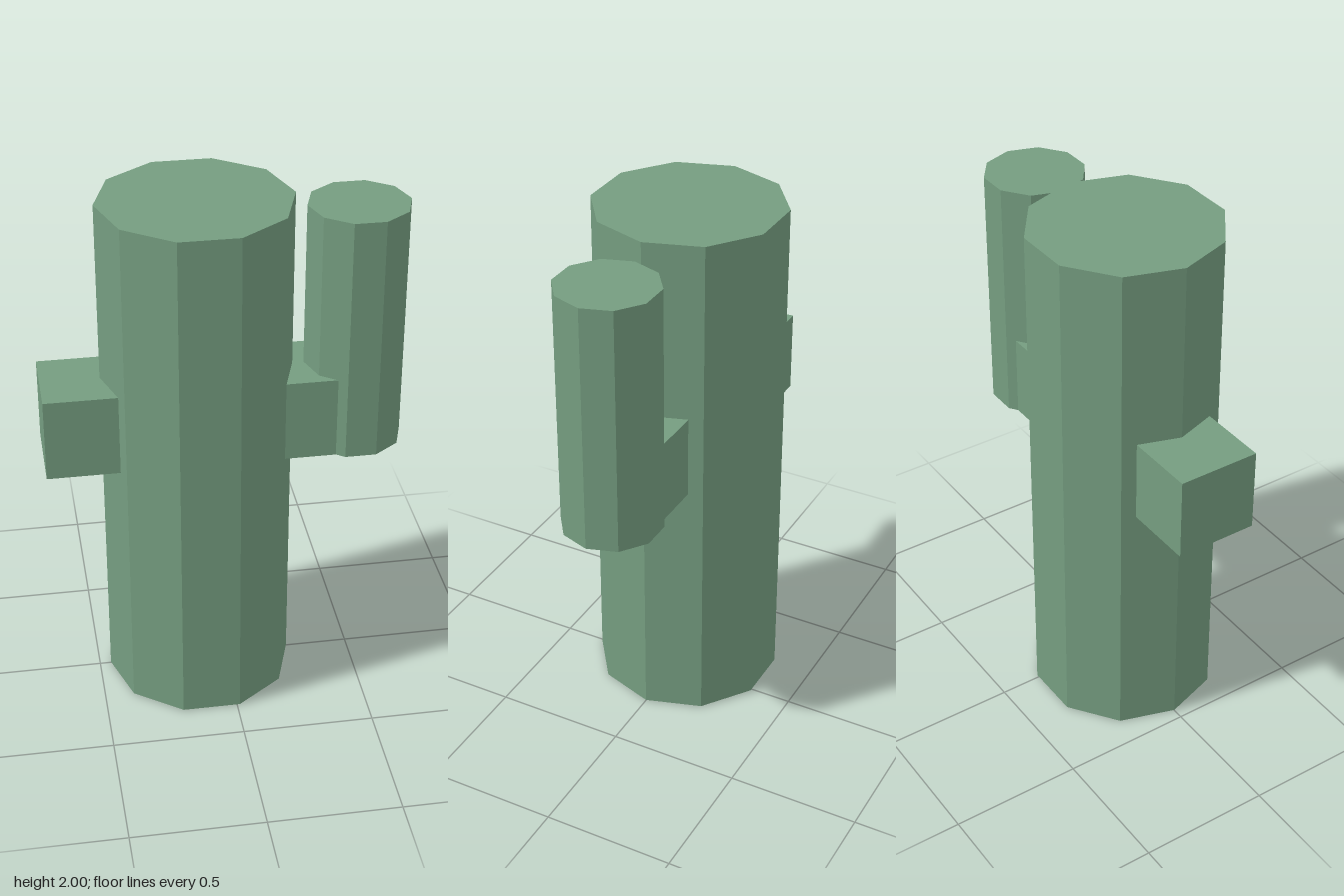
import * as THREE from 'three';

export function createModel() {
  const model = new THREE.Group();
  model.name = 'cactus';

  const green = new THREE.MeshStandardMaterial({ color: 0x759d80 });
  green.name = 'cactus green';
  green.flatShading = true;
  const brown = new THREE.MeshStandardMaterial({ color: 0x9b7062 });
  brown.name = 'soil brown';

  const add = (name, geometry, material, x, y, z = 0) => {
    const mesh = new THREE.Mesh(geometry, material);
    mesh.name = name;
    mesh.position.set(x, y, z);
    model.add(mesh);
  };

  // Ten-sided column with a corner pointing along x
  const column = (name, radius, x, bottom, top) =>
    add(name, new THREE.CylinderGeometry(radius, radius, top - bottom, 10, 1, false, Math.PI / 2),
      green, x, (bottom + top) / 2);

  column('trunk', 0.357, -0.1, 0.002, 2);
  column('raisedArm', 0.189, 0.488, 0.998, 1.946);

  // Crossbar through the trunk, ending inside the raised arm
  const left = -0.677, right = 0.488;
  add('crossbar', new THREE.BoxGeometry(right - left, 0.318, 0.314), green, (left + right) / 2, 1.157);

  // Soil patch on the underside, facing down
  const outline = [
    [0.137, 0.149], [0.183, -0.083], [0.069, -0.022], [-0.005, -0.106],
    [-0.064, -0.193], [-0.213, -0.031], [-0.087, -0.005], [-0.03, 0.053],
  ].map(([x, z]) => new THREE.Vector2(x, z));
  const patch = new THREE.ShapeGeometry(new THREE.Shape(outline)).rotateX(Math.PI / 2);
  add('soilPatch', patch, brown, -0.1, 0);

  return model;
}
